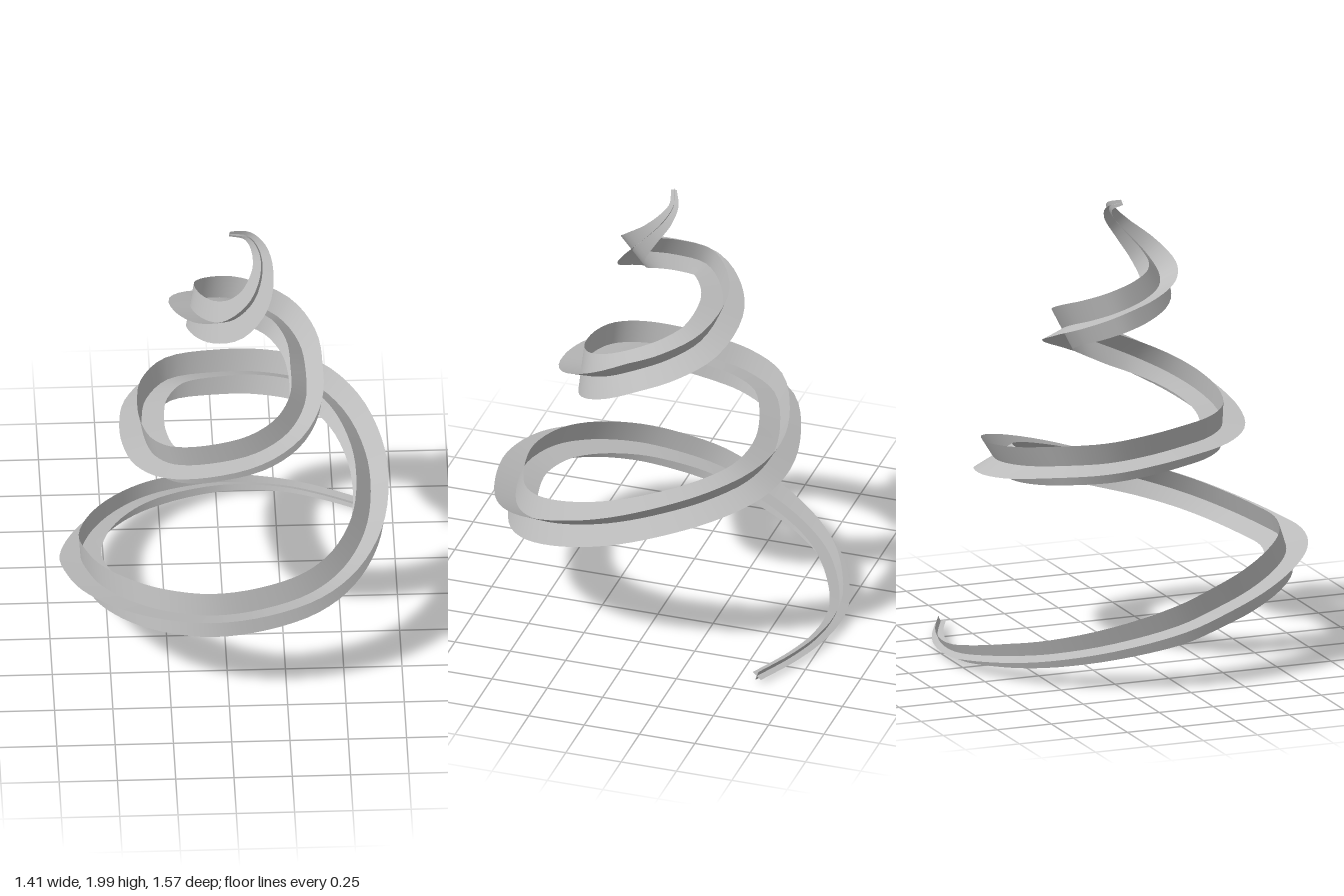
import * as THREE from 'three';

// Centre line of the rising spiral, from the bottom tip to the top tip
const path = [
  [.658, .028, -.583], [.475, .033, -.672], [.315, .04, -.728], [.155, .047, -.75], [0, .063, -.737],
  [-.25, .105, -.625], [-.405, .14, -.49], [-.54, .195, -.27], [-.61, .265, 0], [-.585, .32, .19],
  [-.53, .365, .354], [-.415, .41, .52], [-.27, .44, .635], [-.07, .455, .695], [.15, .465, .67],
  [.36, .49, .595], [.5, .53, .48], [.597, .585, .305], [.632, .645, .1], [.615, .71, -.1],
  [.53, .775, -.31], [.39, .82, -.45], [.19, .845, -.495], [-.02, .875, -.463], [-.22, .915, -.37],
  [-.32, .935, -.21], [-.345, .955, -.05], [-.34, .98, .12], [-.3, 1.0, .27], [-.22, 1.02, .36],
  [-.07, 1.05, .4], [.13, 1.09, .385], [.27, 1.14, .31], [.345, 1.2, .19], [.355, 1.265, .05],
  [.33, 1.325, -.08], [.24, 1.385, -.19], [.06, 1.455, -.225], [-.06, 1.5, -.18], [-.135, 1.545, -.09],
  [-.11, 1.58, .04], [-.04, 1.615, .14], [.045, 1.655, .175], [.13, 1.73, .145], [.17, 1.83, .06],
  [.155, 1.9, 0], [.11, 1.95, -.025], [.03, 1.985, 0],
];

// Half width of the ribbons by height: pointed at both ends
const taper = [
  [0, .022], [.04, .028], [.063, .044], [.105, .06], [.265, .09], [.41, .098],
  [1.45, .098], [1.65, .09], [1.83, .046], [1.9, .034], [1.985, .012], [2.1, .012],
];

// Extra inward roll of the cross section by height, in degrees
const roll = [
  [0, -10], [.2, -10], [.32, -7], [.455, -1], [.645, 4], [.845, 8], [.955, 17],
  [1.05, 16], [1.26, 28], [1.45, 13], [1.65, 17], [2.1, 15],
];

// Linear interpolation in a list of [height, value] pairs
function valueAt(keys, y) {
  const i = Math.max(1, keys.findIndex(k => k[0] >= y));
  const [y0, v0] = keys[i - 1], [y1, v1] = keys[i];
  return THREE.MathUtils.mapLinear(y, y0, y1, v0, v1);
}

// Frames carried along the curve without twisting, then rolled
function makeFrames(curve, count) {
  const carried = new THREE.Vector3(0, 1, -.26);
  const frames = [];
  for (let i = 0; i <= count; i++) {
    const p = curve.getPoint(i / count), t = curve.getTangent(i / count);
    carried.addScaledVector(t, -carried.dot(t)).normalize();
    const angle = -THREE.MathUtils.degToRad(valueAt(roll, p.y));
    const up = carried.clone().applyAxisAngle(t, angle);
    frames.push({ p, up, side: new THREE.Vector3().crossVectors(t, up), r: valueAt(taper, p.y) });
  }
  return frames;
}

// A flat ribbon spread along one axis of the frames
function ribbon(frames, axis) {
  const pos = [], index = [];
  frames.forEach((f, i) => {
    for (const s of [-1, 0, 1]) pos.push(...f.p.clone().addScaledVector(f[axis], s * f.r).toArray());
    if (i === 0) return;
    for (let k = 0; k < 2; k++) {
      const a = (i - 1) * 3 + k, b = a + 3;
      index.push(a, b, a + 1, b, b + 1, a + 1);
    }
  });
  const g = new THREE.BufferGeometry();
  g.setAttribute('position', new THREE.Float32BufferAttribute(pos, 3));
  g.setIndex(index);
  g.computeVertexNormals();
  return g;
}

export function createModel() {
  const group = new THREE.Group();
  group.name = 'spiralTree';
  const grey = new THREE.MeshStandardMaterial({ color: 0xbcbcbc, side: THREE.DoubleSide });
  grey.name = 'light grey';

  const curve = new THREE.CatmullRomCurve3(path.map(p => new THREE.Vector3(...p)), false, 'centripetal');
  const frames = makeFrames(curve, (path.length - 1) * 4);

  // Two ribbons crossing at right angles along the same spiral
  for (const [name, axis] of [['uprightRibbon', 'up'], ['flatRibbon', 'side']]) {
    const mesh = new THREE.Mesh(ribbon(frames, axis), grey);
    mesh.name = name;
    group.add(mesh);
  }
  return group;
}
